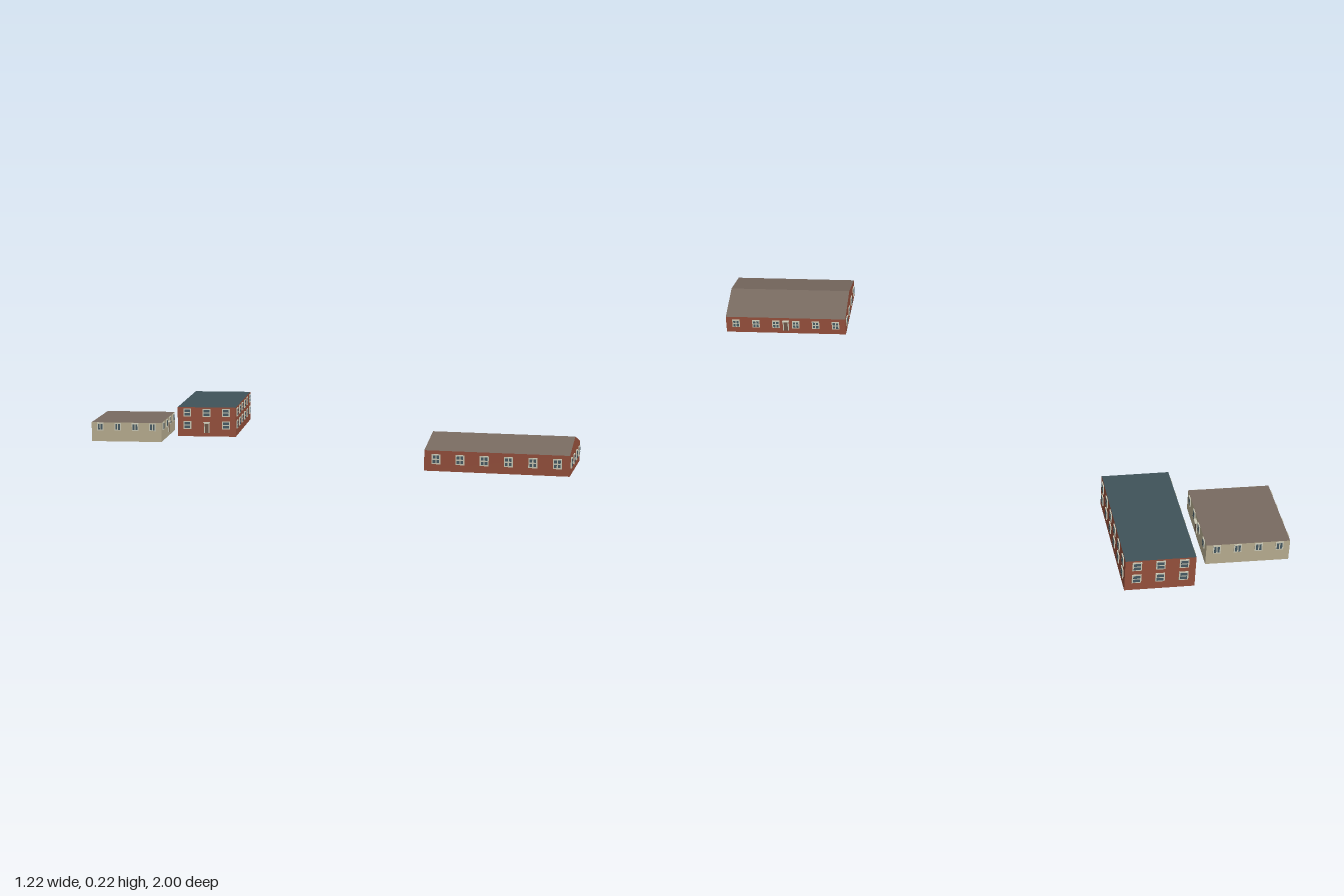
import * as THREE from 'three';

const mat = (name, color, side = THREE.FrontSide) => {
  const m = new THREE.MeshStandardMaterial({ color, side });
  m.name = name;
  return m;
};

export function createModel() {
  const brick = mat('brick', 0x96503c, THREE.DoubleSide);
  const plaster = mat('plaster', 0xb8ad90, THREE.DoubleSide);
  const brownRoof = mat('brown roof', 0x786a60, THREE.DoubleSide);
  const slateRoof = mat('slate roof', 0x3f5259, THREE.DoubleSide);
  const frame = mat('window frame', 0xcbc9b6);
  const glass = mat('glass', 0x465962);
  const door = mat('door', 0x6e5546);

  const add = (parent, name, geo, m, x = 0, y = 0, z = 0) => {
    const mesh = new THREE.Mesh(geo, m);
    mesh.name = name;
    mesh.position.set(x, y, z);
    parent.add(mesh);
    return mesh;
  };
  const box = (w, h, d) => new THREE.BoxGeometry(w, h, d);

  // Framed window: backing plate with cols x rows panes
  const addWindow = (wall, x, y, { w, h, cols, rows }) => {
    const g = new THREE.Group();
    g.name = 'window';
    g.position.set(x, y, 0);
    wall.add(g);
    add(g, 'windowFrame', box(w, h, 0.003), frame, 0, 0, 0.0015);
    const bar = 0.0035, pw = (w - bar * (cols + 1)) / cols, ph = (h - bar * (rows + 1)) / rows;
    for (let i = 0; i < cols; i++) for (let j = 0; j < rows; j++) {
      add(g, 'windowPane', box(pw, ph, 0.001), glass,
        (i - (cols - 1) / 2) * (pw + bar), (j - (rows - 1) / 2) * (ph + bar), 0.0032);
    }
  };

  // Framed door with a small projecting lintel
  const addDoor = (wall, x, y0, h) => {
    add(wall, 'doorFrame', box(0.02, h, 0.003), frame, x, y0 + h / 2, 0.0015);
    add(wall, 'doorPanel', box(0.013, h - 0.004, 0.001), door, x, y0 + h / 2 - 0.002, 0.0032);
    add(wall, 'doorLintel', box(0.022, 0.003, 0.008), frame, x, y0 + h, 0.004);
  };

  // Building open underneath; walls run front, left, back, right
  const building = (o) => {
    const g = new THREE.Group();
    g.name = o.name;
    g.position.set(o.x, 0, o.z);
    g.rotation.y = -o.angle;
    const ridge = o.ridge ?? o.top;
    for (let k = 0; k < 4; k++) {
      const end = k % 2 === 1, w = end ? o.d : o.w;
      const wall = new THREE.Group();
      wall.name = ['frontWall', 'leftWall', 'backWall', 'rightWall'][k];
      wall.rotation.y = k * Math.PI / 2;
      const out = (end ? o.w : o.d) / 2;
      wall.position.set(Math.sin(wall.rotation.y) * out, 0, Math.cos(wall.rotation.y) * out);
      g.add(wall);
      const pts = [[-w / 2, o.bottom], [w / 2, o.bottom], [w / 2, o.top]];
      if (end && ridge > o.top) pts.push([0, ridge]);
      pts.push([-w / 2, o.top]);
      add(wall, 'wallFace', new THREE.ShapeGeometry(new THREE.Shape(pts.map(p => new THREE.Vector2(...p)))), o.wall);
      // Evenly spaced windows, leaving out the bay used by the door
      const n = end ? o.sideBays : o.frontBays;
      o.rows.forEach((y, r) => {
        for (let i = 0; i < n; i++) {
          const x = ((i + 0.5) / n - 0.5) * w;
          if (k === o.doorWall && r === 0 && Math.abs(x) < 0.01) continue;
          addWindow(wall, x, y, o.window);
        }
      });
      if (k === o.doorWall) addDoor(wall, 0, o.doorY, o.doorH);
    }
    // Roof: one flat sheet or two slopes
    if (ridge > o.top) {
      const rise = ridge - o.top, a = Math.atan2(rise, o.d / 2);
      for (const s of [1, -1]) {
        const geo = new THREE.PlaneGeometry(o.w, Math.hypot(rise, o.d / 2)).rotateX(a - Math.PI / 2);
        const slope = add(g, 'roofSlope', geo, o.roof, 0, (o.top + ridge) / 2, s * o.d / 4);
        if (s < 0) slope.rotation.y = Math.PI;
      }
    } else {
      add(g, 'flatRoof', new THREE.PlaneGeometry(o.w, o.d).rotateX(-Math.PI / 2), o.roof, 0, o.top, 0);
    }
    return g;
  };

  const model = new THREE.Group();
  model.name = 'buildings';
  model.add(
    building({
      name: 'lowBuilding', x: -0.447, z: -0.813, angle: 0.342, w: 0.247, d: 0.277,
      bottom: 0, top: 0.067, wall: plaster, roof: brownRoof, frontBays: 4, sideBays: 4,
      rows: [0.052], window: { w: 0.023, h: 0.027, cols: 2, rows: 1 },
      doorWall: 1, doorY: 0.015, doorH: 0.038,
    }),
    building({
      name: 'twoStoreyBuilding', x: -0.16, z: -0.77, angle: 0.335, w: 0.203, d: 0.42,
      bottom: 0.025, top: 0.127, wall: brick, roof: slateRoof, frontBays: 3, sideBays: 6,
      rows: [0.065, 0.108], window: { w: 0.027, h: 0.028, cols: 1, rows: 2 },
      doorWall: 0, doorY: 0.038, doorH: 0.036,
    }),
    building({
      name: 'gabledBuilding', x: 0.367, z: 0.782, angle: 0.489, w: 0.405, d: 0.272,
      bottom: 0.126, top: 0.184, ridge: 0.217, wall: brick, roof: brownRoof, frontBays: 6, sideBays: 4,
      rows: [0.16], window: { w: 0.025, h: 0.028, cols: 2, rows: 2 },
      doorWall: 2, doorY: 0.137, doorH: 0.036,
    }),
  );
  return model;
}
